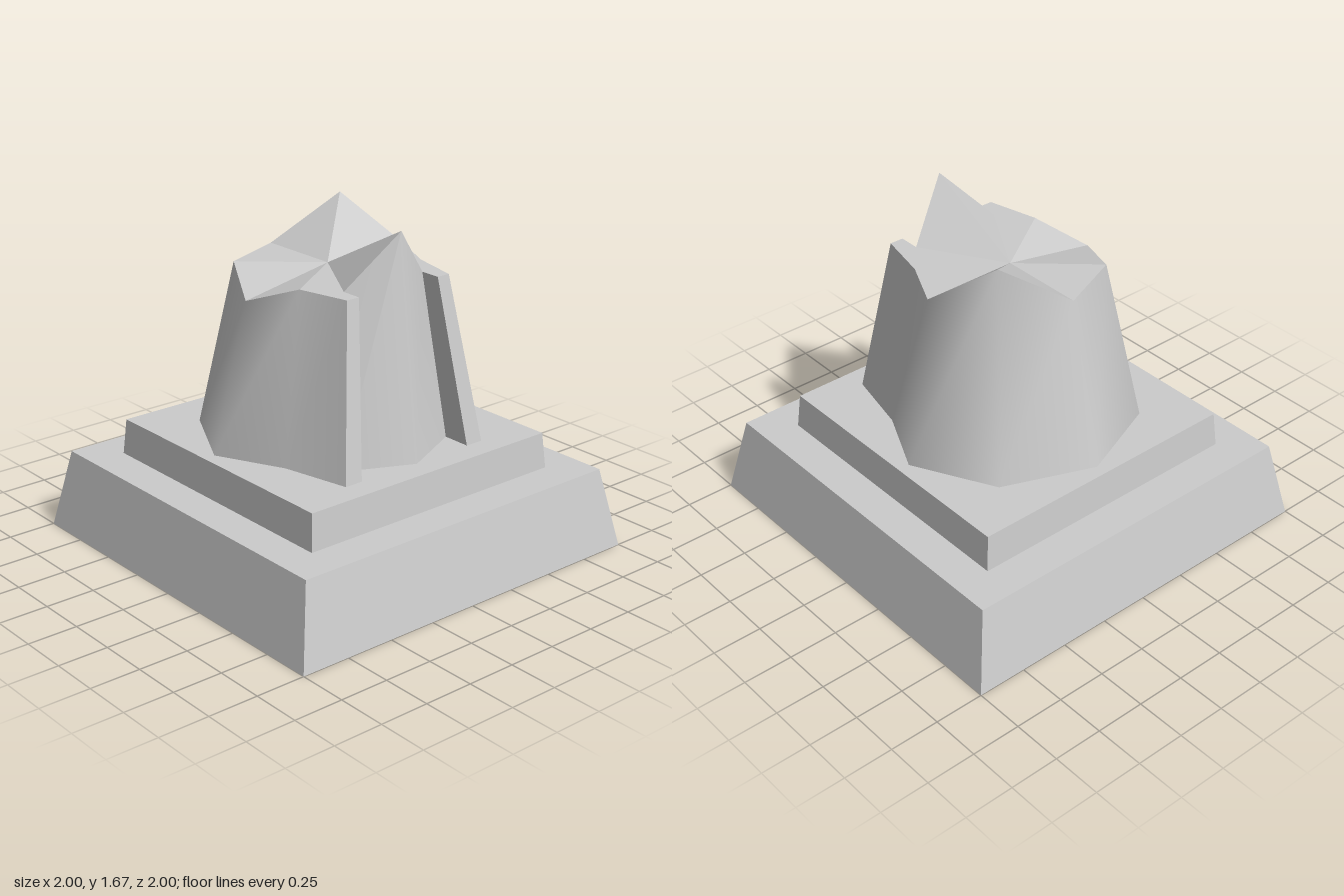
import * as THREE from 'three';
import { toCreasedNormals } from 'three/addons/utils/BufferGeometryUtils.js';

const smooth = new THREE.MeshStandardMaterial({ color: 0xcccccc });
const flat = new THREE.MeshStandardMaterial({ color: 0xcccccc, flatShading: true });

function part(name, geometry, material) {
  const mesh = new THREE.Mesh(geometry, material);
  mesh.name = name;
  return mesh;
}

// Square block with sloping sides, given by its half widths
function slab(name, bottom, top, y0, y1) {
  const g = new THREE.CylinderGeometry(top * Math.SQRT2, bottom * Math.SQRT2, y1 - y0, 4);
  g.rotateY(Math.PI / 4).translate(0, (y0 + y1) / 2, 0);
  return part(name, g, flat);
}

function fromTriangles(triangles) {
  const g = new THREE.BufferGeometry().setFromPoints(triangles.flat());
  g.computeVertexNormals();
  return g;
}

// Closed outline from its +x half, which runs from front centre to back centre
function mirrored(half) {
  return [...half, ...half.slice(1, -1).reverse().map(([x, z]) => [-x, z])];
}

export function createModel() {
  const group = new THREE.Group();

  // Stepped plinth
  group.add(slab('plinthLower', 1, 0.92, 0, 0.4));
  group.add(slab('plinthUpper', 0.735, 0.72, 0.4, 0.58));

  // Foot and rim outlines of the tapering stump, as [x, z]
  const foot = mirrored([[0, 0.61], [0.33, 0.455], [0.33, 0.6], [0.425, 0.6],
    [0.5, 0.26], [0.66, -0.075], [0.45, -0.48], [0, -0.66]])
    .map(([x, z]) => new THREE.Vector3(x, 0.58, z));
  const heights = { 0: 1.67, 6: 1.635, 9: 1.315 }; // broken points of the rim
  const rim = mirrored([[0, 0.48], [0.24, 0.365], [0.24, 0.47], [0.31, 0.47],
    [0.37, 0.21], [0.49, -0.035], [0.33, -0.335], [0, -0.47]])
    .map(([x, z], i) => new THREE.Vector3(x, heights[i] ?? 1.405, z));

  // Stump walls
  const walls = [];
  foot.forEach((a, i) => {
    const j = (i + 1) % foot.length;
    walls.push([a, foot[j], rim[j]], [a, rim[j], rim[i]]);
  });
  group.add(part('stumpWalls', toCreasedNormals(fromTriangles(walls), 1), smooth));

  // Jagged top: a fan round the middle, then the two front flaps
  const centre = new THREE.Vector3(0, 1.405, -0.035);
  const fan = [0, 1, 4, 5, 6, 7, 8, 9, 10, 13];
  const top = fan.map((a, k) => [centre, rim[a], rim[fan[(k + 1) % fan.length]]]);
  for (const [a, b, c] of [[1, 2, 4], [2, 3, 4], [10, 11, 12], [10, 12, 13]]) {
    top.push([rim[a], rim[b], rim[c]]);
  }
  group.add(part('stumpTop', fromTriangles(top), flat));

  return group;
}
